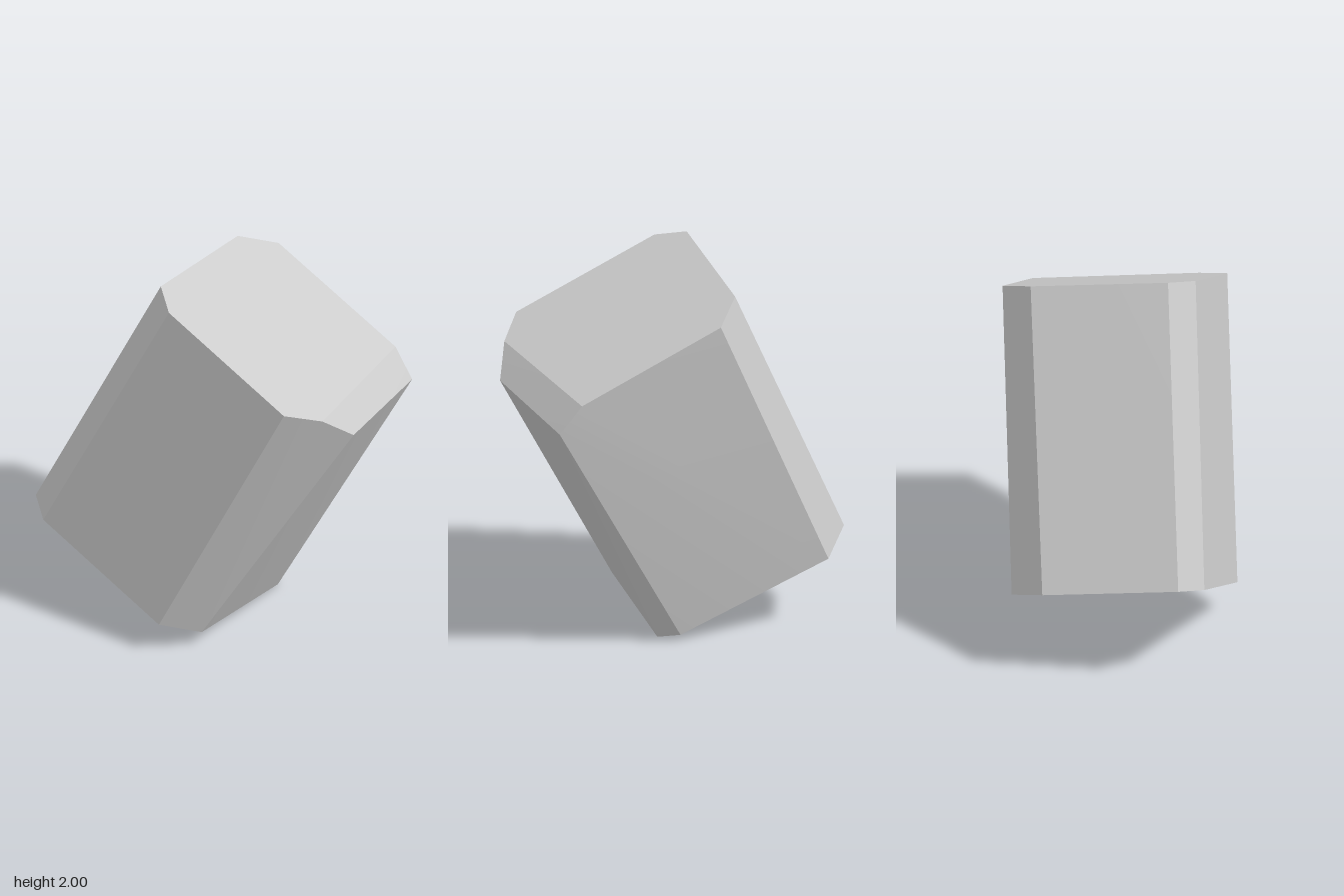
import * as THREE from 'three';
import { ConvexGeometry } from 'three/addons/geometries/ConvexGeometry.js';
import { mergeVertices, toCreasedNormals } from 'three/addons/utils/BufferGeometryUtils.js';

// Corners are given as [x, z]; the tilted end planes supply y.
const endPlane = (height) => ([x, z]) =>
  new THREE.Vector3(x, height - 0.386 * x - 0.287 * z, z);

export function createModel() {
  const group = new THREE.Group();
  group.name = 'tiltedBlock';

  // Upper end with clipped corners
  const upper = [
    [-0.36, 0.04], [0.19, -0.42], [0.41, -0.42], [0.86, 0.18],
    [0.28, 0.81], [0.07, 0.82], [-0.37, 0.22],
  ].map(endPlane(1.873));

  // Lower end with clipped corners
  const lower = [
    [0.29, -0.03], [0.30, -0.16], [-0.12, -0.82], [-0.36, -0.82],
    [-0.91, -0.37], [-0.92, -0.20], [-0.48, 0.41], [-0.25, 0.41],
  ].map(endPlane(0.103));

  // Two dropped corners where the upper edge is chipped away
  const chips = [
    new THREE.Vector3(0.92, 1.34, 0.28),
    new THREE.Vector3(0.46, 1.39, 0.77),
  ];

  // Solid faceted body, softened only over shallow edges
  const hull = new ConvexGeometry([...upper, ...lower, ...chips]);
  hull.deleteAttribute('normal');
  const geometry = toCreasedNormals(mergeVertices(hull), 0.45);

  const body = new THREE.Mesh(geometry, new THREE.MeshStandardMaterial({ color: 0xcccccc }));
  body.name = 'blockBody';
  group.add(body);
  return group;
}
